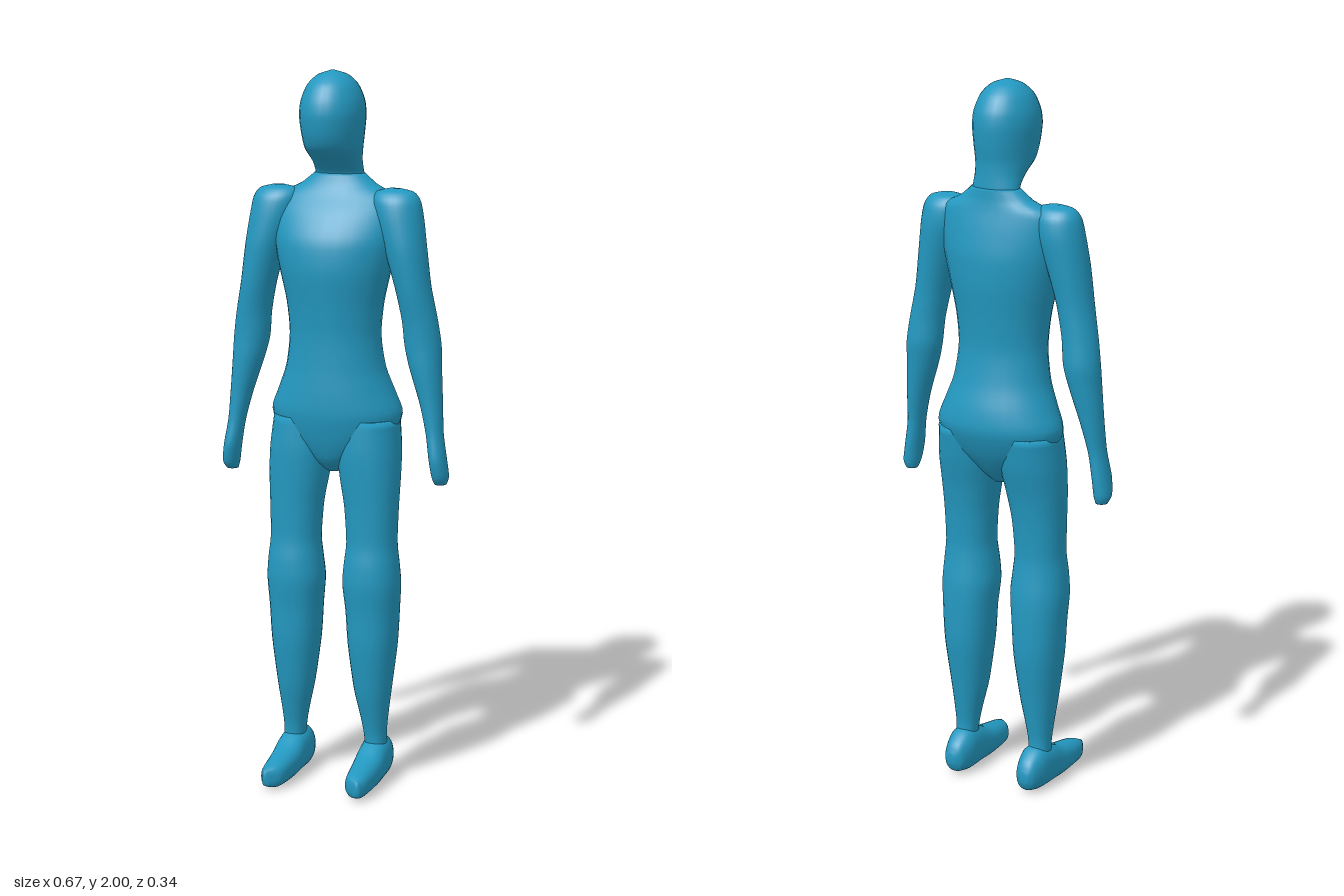
import * as THREE from 'three';

const SIDES = 28;
const STEPS = 4; // smooth rings between two given sections

// Smooth skin over oval sections [t, x0, x1, w0, w1], listed with rising t.
// axis 'y': t is height and w runs along z; axis 'z': t is depth and w is height.
function loft(rows, axis = 'y', power = 2) {
  const xs = new THREE.CatmullRomCurve3(
    rows.map(r => new THREE.Vector3(r[0], r[1], r[2])), false, 'catmullrom', 0.4);
  const ws = new THREE.CatmullRomCurve3(
    rows.map(r => new THREE.Vector3(r[0], r[3], r[4])), false, 'catmullrom', 0.4);
  const rings = (rows.length - 1) * STEPS;
  const pos = [], index = [];
  const add = (x, w, t) => (axis === 'y' ? pos.push(x, t, w) : pos.push(x, w, t));
  const tri = (a, b, c) => (axis === 'y' ? index.push(a, b, c) : index.push(a, c, b));
  const round = v => Math.sign(v) * Math.abs(v) ** (2 / power);

  for (let j = 0; j <= rings; j++) {
    const a = xs.getPoint(j / rings), b = ws.getPoint(j / rings);
    for (let i = 0; i < SIDES; i++) {
      const q = (i / SIDES) * Math.PI * 2;
      add((a.y + a.z) / 2 + (a.z - a.y) / 2 * round(Math.cos(q)),
        (b.y + b.z) / 2 + (b.z - b.y) / 2 * round(Math.sin(q)), a.x);
    }
  }
  for (let j = 0; j < rings; j++) {
    for (let i = 0; i < SIDES; i++) {
      const p = j * SIDES + i, n = j * SIDES + (i + 1) % SIDES;
      tri(p, p + SIDES, n);
      tri(n, p + SIDES, n + SIDES);
    }
  }
  // end caps
  const first = rows[0], last = rows[rows.length - 1];
  const c = (rings + 1) * SIDES;
  for (const r of [first, last]) add((r[1] + r[2]) / 2, (r[3] + r[4]) / 2, r[0]);
  for (let i = 0; i < SIDES; i++) {
    const n = (i + 1) % SIDES, top = rings * SIDES;
    tri(c, i, n);
    tri(c + 1, top + n, top + i);
  }
  const g = new THREE.BufferGeometry();
  g.setAttribute('position', new THREE.Float32BufferAttribute(pos, 3));
  g.setIndex(index);
  g.computeVertexNormals();
  return g;
}

// Body sections: height, half width, back z, front z
const BODY = [
  [0.895, 0.02, -0.07, -0.01],
  [0.93, 0.07, -0.105, 0.03],
  [0.99, 0.155, -0.145, 0.052],
  [1.06, 0.188, -0.172, 0.066],
  [1.12, 0.168, -0.167, 0.066],
  [1.19, 0.142, -0.148, 0.062],
  [1.28, 0.13, -0.135, 0.06],
  [1.37, 0.138, -0.14, 0.068],
  [1.46, 0.158, -0.149, 0.078],
  [1.54, 0.175, -0.149, 0.07],
  [1.61, 0.18, -0.137, 0.036],
  [1.66, 0.168, -0.125, 0.0],
  [1.69, 0.11, -0.12, -0.018],
  [1.72, 0.072, -0.118, -0.03],
];

// Head sections, same layout
const HEAD = [
  [1.68, 0.075, -0.118, -0.025],
  [1.72, 0.069, -0.116, -0.03],
  [1.755, 0.07, -0.114, 0.01],
  [1.79, 0.078, -0.114, 0.062],
  [1.83, 0.084, -0.119, 0.082],
  [1.88, 0.089, -0.122, 0.09],
  [1.92, 0.085, -0.116, 0.083],
  [1.96, 0.069, -0.095, 0.062],
  [1.987, 0.042, -0.063, 0.028],
  [2.0, 0.004, -0.02, -0.012],
];

// Limb sections on the left side: height, inner x, outer x, back z, front z
const ARM = [
  [0.878, 0.292, 0.325, -0.05, -0.015],
  [0.9, 0.286, 0.333, -0.058, 0.002],
  [0.95, 0.279, 0.327, -0.06, 0.012],
  [1.02, 0.268, 0.316, -0.06, 0.002],
  [1.1, 0.248, 0.311, -0.073, 0.0],
  [1.2, 0.215, 0.305, -0.088, 0.004],
  [1.26, 0.2, 0.302, -0.096, 0.004],
  [1.33, 0.193, 0.292, -0.092, 0.008],
  [1.42, 0.175, 0.274, -0.092, 0.02],
  [1.52, 0.145, 0.261, -0.1, 0.026],
  [1.6, 0.115, 0.25, -0.106, 0.02],
  [1.65, 0.105, 0.24, -0.1, 0.01],
  [1.675, 0.115, 0.222, -0.082, -0.01],
  [1.685, 0.15, 0.185, -0.055, -0.035],
];

const LEG = [
  [0.05, 0.095, 0.155, -0.085, -0.005],
  [0.13, 0.09, 0.153, -0.072, -0.004],
  [0.19, 0.08, 0.158, -0.078, 0.008],
  [0.27, 0.063, 0.168, -0.09, 0.026],
  [0.4, 0.046, 0.183, -0.109, 0.044],
  [0.5, 0.039, 0.189, -0.111, 0.048],
  [0.58, 0.031, 0.194, -0.108, 0.055],
  [0.64, 0.036, 0.19, -0.1, 0.052],
  [0.7, 0.042, 0.184, -0.095, 0.044],
  [0.8, 0.035, 0.186, -0.102, 0.045],
  [0.88, 0.021, 0.189, -0.115, 0.048],
  [0.96, 0.01, 0.188, -0.135, 0.05],
  [1.05, 0.015, 0.178, -0.15, 0.045],
];

// Foot sections: z, inner x, outer x, sole y, top y
const FOOT = [
  [-0.13, 0.11, 0.135, 0.035, 0.065],
  [-0.115, 0.09, 0.15, 0.01, 0.095],
  [-0.07, 0.077, 0.163, 0.0, 0.125],
  [-0.01, 0.078, 0.166, 0.0, 0.115],
  [0.05, 0.08, 0.165, 0.0, 0.088],
  [0.14, 0.093, 0.157, 0.003, 0.07],
  [0.17, 0.128, 0.144, 0.015, 0.058],
];

export function createModel() {
  const model = new THREE.Group();
  model.name = 'figure';
  const blue = new THREE.MeshStandardMaterial({ color: 0x2398c0 });
  blue.name = 'blue';

  const part = (name, geometry) => {
    const mesh = new THREE.Mesh(geometry, blue);
    mesh.name = name;
    model.add(mesh);
  };
  const centred = rows => rows.map(([y, w, b, f]) => [y, -w, w, b, f]);
  const onSide = (rows, s) => rows.map(([t, a, b, c, d]) =>
    (s > 0 ? [t, a, b, c, d] : [t, -b, -a, c, d]));

  // trunk and head
  part('torso', loft(centred(BODY)));
  part('head', loft(centred(HEAD)));

  // mirrored limbs
  for (const [side, s] of [['left', 1], ['right', -1]]) {
    part(side + 'Arm', loft(onSide(ARM, s)));
    part(side + 'Leg', loft(onSide(LEG, s), 'y', 2.2));
    part(side + 'Foot', loft(onSide(FOOT, s), 'z', 2.4));
  }
  return model;
}
